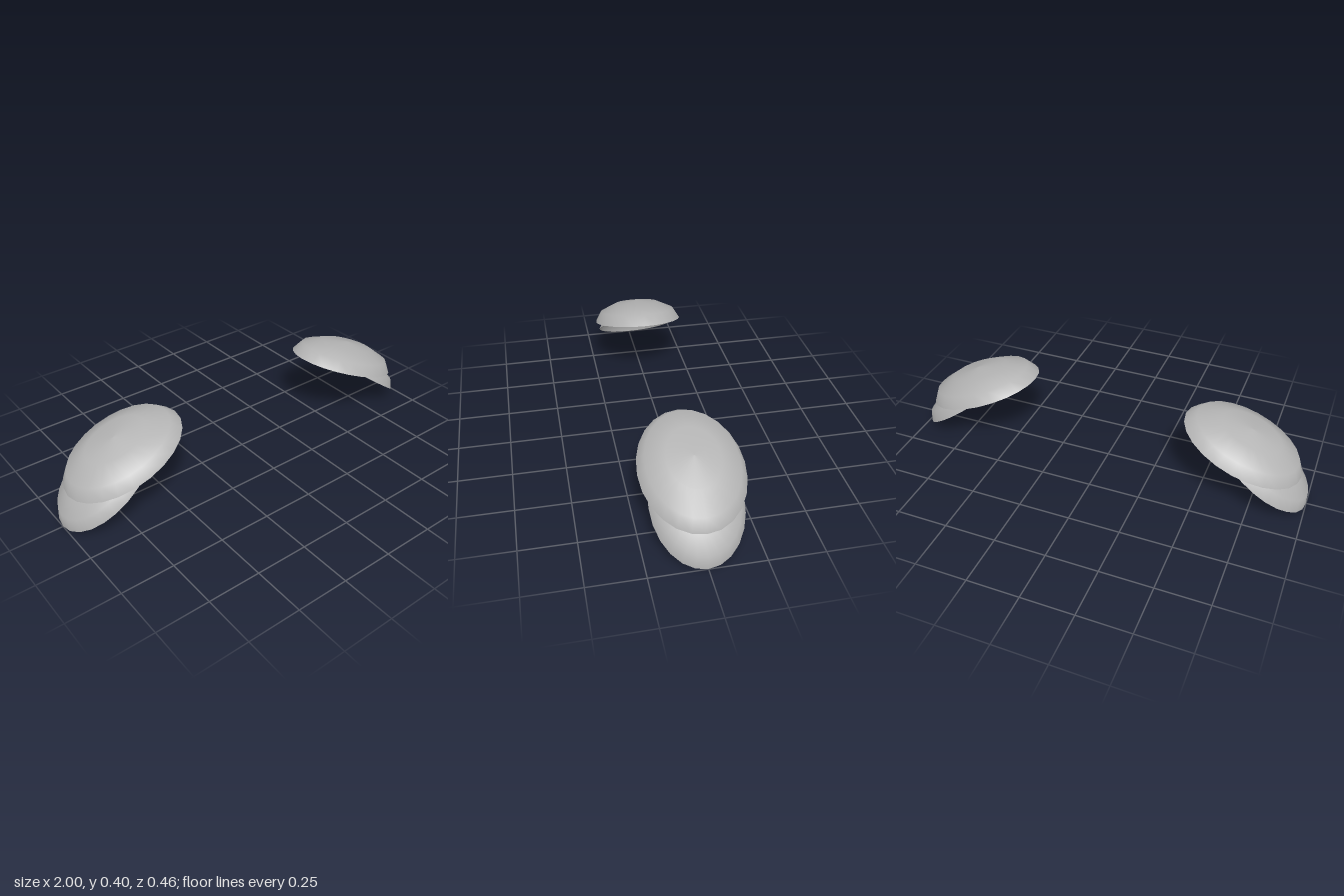
import * as THREE from 'three';

const SEGMENTS = 24; // around each dome
const RINGS = 3;     // from rim to apex
const INNER = 0.965; // inner skin relative to the outer one

const gray = new THREE.MeshStandardMaterial({ color: 0xb4b4b4 });
gray.name = 'plain gray';

// Quarter arc of a dome, from rim up to apex
function arc(scale) {
  const points = [];
  for (let i = 0; i <= RINGS; i++) {
    const a = (i / RINGS) * Math.PI / 2;
    points.push(new THREE.Vector2(Math.max(0, Math.cos(a)) * scale, Math.sin(a) * scale));
  }
  return points;
}

// Hollow half-ellipsoid shell: outer skin, inner skin and flat rim between them
function makePlate(name, { length, height, width }) {
  const plate = new THREE.Group();
  plate.name = name;
  const skins = {
    OuterDome: arc(1),
    InnerDome: arc(INNER).reverse(),
    Rim: [new THREE.Vector2(INNER, 0), new THREE.Vector2(1, 0)],
  };
  for (const [part, profile] of Object.entries(skins)) {
    const geometry = new THREE.LatheGeometry(profile, SEGMENTS);
    geometry.scale(length, height, width);
    const mesh = new THREE.Mesh(geometry, gray);
    mesh.name = name + part;
    plate.add(mesh);
  }
  return plate;
}

// Large upper plate overlapping a steeper lower plate
const PLATES = [
  { name: 'upperPlate', x: 0.672, y: 0.257, tilt: 20.4, length: 0.303, height: 0.108, width: 0.231 },
  { name: 'lowerPlate', x: 0.775, y: 0.162, tilt: 35.6, length: 0.276, height: 0.1, width: 0.203 },
];

export function createModel() {
  const model = new THREE.Group();
  model.name = 'shoulderPads';
  for (const side of [1, -1]) {
    const pad = new THREE.Group();
    pad.name = side > 0 ? 'leftShoulderPad' : 'rightShoulderPad';
    for (const p of PLATES) {
      const plate = makePlate(p.name, p);
      plate.position.set(side * p.x, p.y, 0);
      plate.rotation.z = -side * THREE.MathUtils.degToRad(p.tilt);
      pad.add(plate);
    }
    model.add(pad);
  }
  return model;
}
